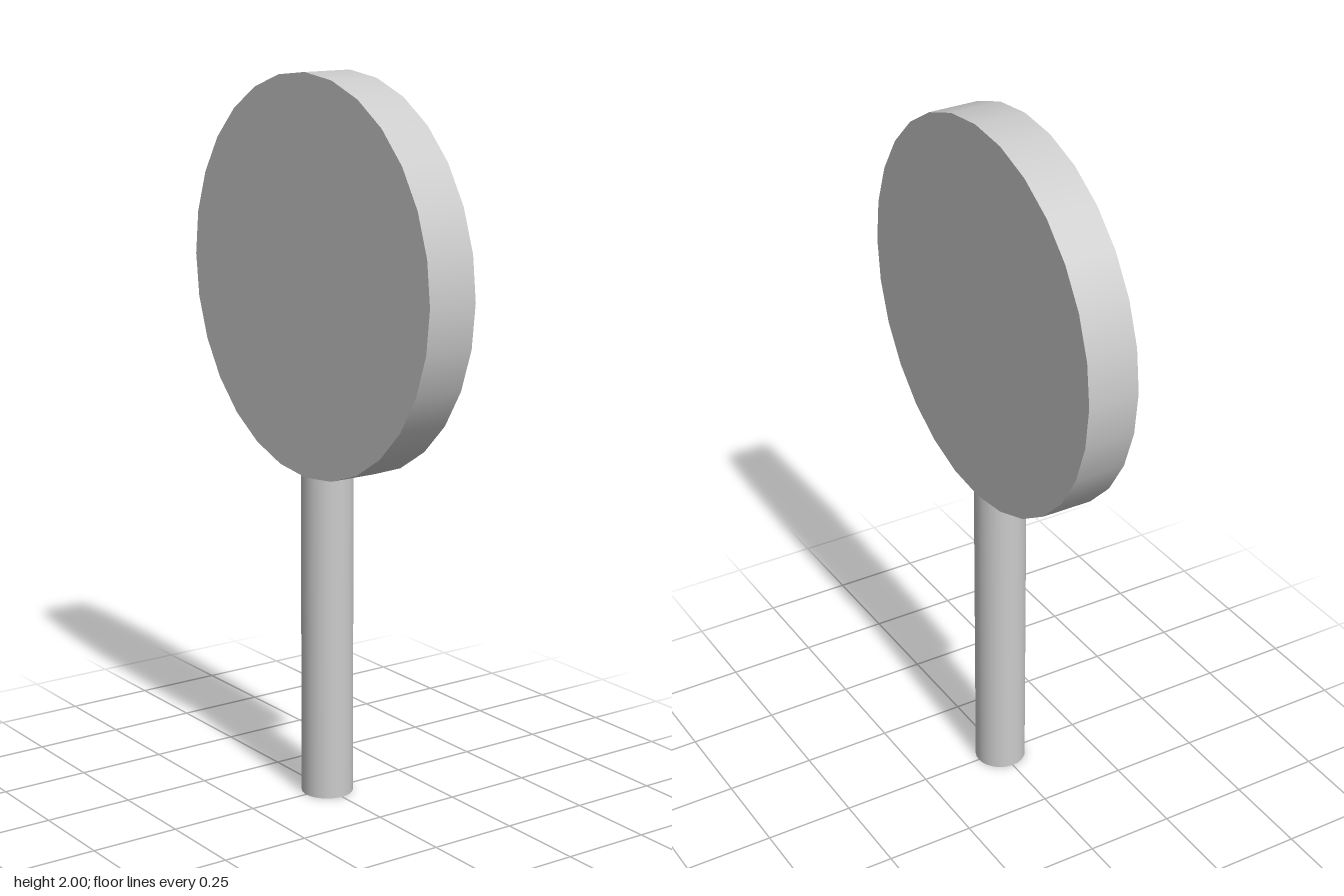
import * as THREE from 'three';

const SIDES = 28;

export function createModel() {
  const group = new THREE.Group();
  const material = new THREE.MeshStandardMaterial({ color: 0xcccccc });
  const add = (name, geometry, y) => {
    const mesh = new THREE.Mesh(geometry, material);
    mesh.name = name;
    mesh.position.y = y;
    group.add(mesh);
  };

  // Round stick standing on the ground, just reaching into the disc
  const stickHeight = 0.925;
  add('stick', new THREE.CylinderGeometry(0.072, 0.072, stickHeight, SIDES), stickHeight / 2);

  // Flat round disc facing front and back
  const radius = 0.543;
  const disc = new THREE.CylinderGeometry(radius, radius, 0.144, SIDES).rotateX(Math.PI / 2);
  add('disc', disc, 2 - radius);

  return group;
}
